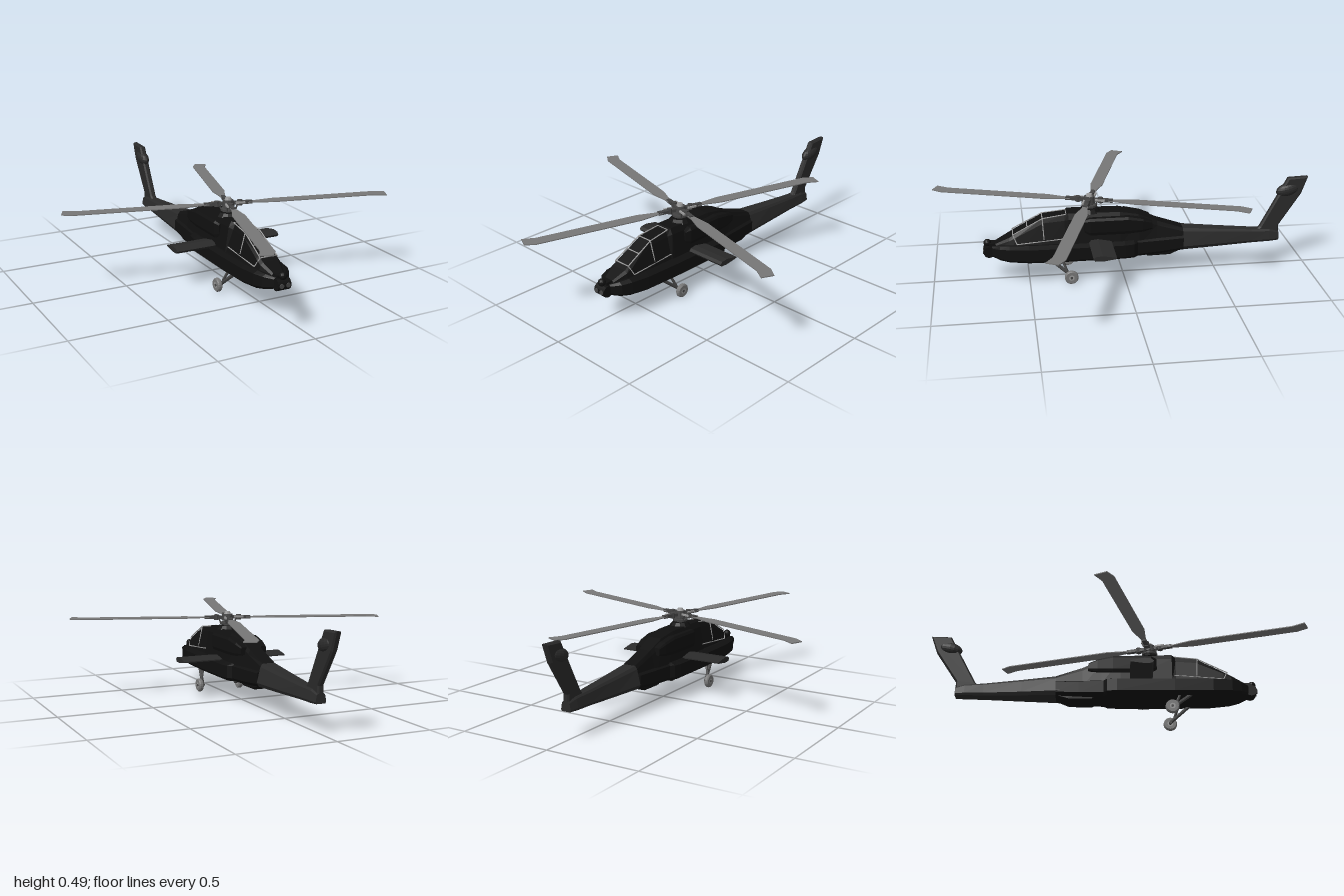
import * as THREE from 'three';

const mat = (color) => new THREE.MeshStandardMaterial({ color, flatShading: true, side: THREE.DoubleSide });
const black = mat(0x101010), dark = mat(0x2a2a2a), metal = mat(0x444444), blade = mat(0x777777), pale = mat(0x999999);

function add(parent, name, geometry, material, x = 0, y = 0, z = 0) {
  const mesh = new THREE.Mesh(geometry, material);
  mesh.name = name;
  mesh.position.set(x, y, z);
  parent.add(mesh);
  return mesh;
}

// Skin through chamfered cross-sections: [z, bottom, top, lower half width, upper half width]
function loft(stations) {
  const pos = [], idx = [], n = 8;
  for (const [z, y0, y1, wb, wt = wb] of stations) {
    const h = y1 - y0;
    const half = [[wb * 0.82, y0], [wb, y0 + h * 0.18], [wt, y1 - h * 0.14], [wt * 0.75, y1]];
    for (const [x, y] of half) pos.push(x, y, z);
    for (const [x, y] of half.reverse()) pos.push(-x, y, z);
  }
  const last = (stations.length - 1) * n;
  for (let k = 0; k < last; k += n) {
    for (let i = 0; i < n; i++) {
      const a = k + i, b = k + (i + 1) % n;
      idx.push(a, a + n, b + n, a, b + n, b);
    }
  }
  for (let i = 1; i < n - 1; i++) idx.push(0, i, i + 1, last, last + i + 1, last + i);
  const g = new THREE.BufferGeometry();
  g.setAttribute('position', new THREE.Float32BufferAttribute(pos, 3));
  g.setIndex(idx);
  const flat = g.toNonIndexed();
  flat.computeVertexNormals();
  return flat;
}

// Side outline given as [z, y], extruded across x and centred on it
function sideSlab(points, width, bevel = 0) {
  const shape = new THREE.Shape(points.map(([z, y]) => new THREE.Vector2(z, y)));
  const g = new THREE.ExtrudeGeometry(shape, {
    depth: width - 2 * bevel, bevelEnabled: bevel > 0, bevelSize: bevel, bevelThickness: bevel,
    bevelOffset: -bevel, bevelSegments: 1,
  });
  return g.translate(0, 0, -(width - 2 * bevel) / 2).rotateY(-Math.PI / 2);
}

// Round bar between two points
function bar(parent, name, a, b, r, material) {
  const A = new THREE.Vector3(...a), B = new THREE.Vector3(...b);
  const mesh = add(parent, name, new THREE.CylinderGeometry(r, r, A.distanceTo(B), 8), material);
  mesh.position.copy(A).lerp(B, 0.5);
  mesh.quaternion.setFromUnitVectors(new THREE.Vector3(0, 1, 0), B.sub(A).normalize());
  return mesh;
}

function makeRotor() {
  const rotor = new THREE.Group();
  rotor.name = 'mainRotor';
  rotor.position.set(0, 0.422, 0.175);
  rotor.rotation.set(-0.016, 0, 0.004);
  add(rotor, 'hub', new THREE.CylinderGeometry(0.028, 0.032, 0.035, 12), metal);
  add(rotor, 'hubCap', new THREE.CylinderGeometry(0.014, 0.02, 0.018, 12), pale, 0, 0.022);
  add(rotor, 'swashplate', new THREE.CylinderGeometry(0.04, 0.04, 0.01, 16), metal, 0, -0.032);
  // Blade outline: narrow cuff, full chord, swept tip
  const outline = [[0.1, -0.012], [0.14, -0.016], [0.23, -0.033], [0.79, -0.033], [0.845, -0.012],
    [0.835, 0.052], [0.77, 0.032], [0.23, 0.032], [0.14, 0.014], [0.1, 0.012]];
  const bladeGeo = new THREE.ExtrudeGeometry(
    new THREE.Shape(outline.map(([r, s]) => new THREE.Vector2(r, s))), { depth: 0.005, bevelEnabled: false });
  bladeGeo.rotateX(Math.PI / 2);
  for (let i = 0; i < 4; i++) {
    const arm = new THREE.Group();
    arm.name = 'bladeArm';
    arm.rotation.y = -0.28 + i * Math.PI / 2;
    add(arm, 'rotorBlade', bladeGeo, blade, 0, 0.0025);
    add(arm, 'bladeGrip', new THREE.BoxGeometry(0.1, 0.016, 0.022), metal, 0.075);
    add(arm, 'hinge', new THREE.CylinderGeometry(0.014, 0.014, 0.028, 8), metal, 0.06);
    add(arm, 'damper', new THREE.BoxGeometry(0.05, 0.009, 0.009), pale, 0.06, 0.004, 0.02);
    bar(arm, 'pitchLink', [0.036, -0.032, 0.012], [0.046, 0, 0.016], 0.004, metal);
    rotor.add(arm);
  }
  return rotor;
}

function makeGear(side) {
  const gear = new THREE.Group();
  gear.name = side > 0 ? 'leftGear' : 'rightGear';
  const x = 0.12 * side;
  bar(gear, 'gearLeg', [0.075 * side, 0.125, 0.39], [0.1 * side, 0.04, 0.288], 0.009, metal);
  bar(gear, 'shockStrut', [0.078 * side, 0.125, 0.33], [0.1 * side, 0.06, 0.305], 0.007, metal);
  bar(gear, 'axle', [0.092 * side, 0.036, 0.285], [x, 0.036, 0.285], 0.008, metal);
  // Rounded tyre with a paler wheel disc
  const tyre = [[0.015, -0.012], [0.031, -0.012], [0.036, -0.006], [0.036, 0.006], [0.031, 0.012], [0.015, 0.012]];
  const tyreGeo = new THREE.LatheGeometry(tyre.map(([r, h]) => new THREE.Vector2(r, h)), 20).rotateZ(Math.PI / 2);
  add(gear, 'tyre', tyreGeo, blade, x, 0.036, 0.285);
  add(gear, 'wheelDisc', new THREE.CylinderGeometry(0.018, 0.018, 0.02, 16).rotateZ(Math.PI / 2), pale, x, 0.036, 0.285);
  add(gear, 'wheelNut', new THREE.CylinderGeometry(0.007, 0.007, 0.026, 8).rotateZ(Math.PI / 2), metal, x, 0.036, 0.285);
  return gear;
}

export function createModel() {
  const model = new THREE.Group();
  model.name = 'helicopter';

  // Fuselage: wide lower hull, cabin above it, tail boom
  add(model, 'lowerHull', loft([
    [0.69, 0.14, 0.195, 0.035], [0.65, 0.13, 0.205, 0.075], [0.6, 0.122, 0.21, 0.095], [0.5, 0.116, 0.21, 0.11],
    [0.3, 0.114, 0.21, 0.115], [0, 0.114, 0.21, 0.114], [-0.05, 0.114, 0.21, 0.105], [-0.07, 0.115, 0.21, 0.085],
    [-0.2, 0.12, 0.21, 0.075], [-0.32, 0.13, 0.21, 0.064],
  ]), black);
  add(model, 'cabin', loft([
    [0.67, 0.15, 0.21, 0.045, 0.035], [0.6, 0.15, 0.245, 0.075, 0.056], [0.56, 0.15, 0.268, 0.077, 0.056],
    [0.42, 0.15, 0.345, 0.08, 0.046], [0.31, 0.15, 0.355, 0.08, 0.045], [0.29, 0.15, 0.365, 0.082, 0.06],
    [0.02, 0.15, 0.36, 0.082, 0.06], [-0.08, 0.15, 0.34, 0.078, 0.052], [-0.18, 0.14, 0.295, 0.072, 0.045],
    [-0.32, 0.13, 0.247, 0.065, 0.045],
  ]), black);
  add(model, 'tailBoom', loft([
    [-0.32, 0.13, 0.246, 0.065, 0.045], [-0.5, 0.133, 0.228, 0.05, 0.037], [-0.7, 0.138, 0.21, 0.036, 0.028],
    [-0.8, 0.14, 0.205, 0.034, 0.026], [-0.85, 0.142, 0.19, 0.028, 0.022],
  ]), dark);
  add(model, 'bellyFairing', loft([
    [-0.11, 0.114, 0.15, 0.05], [-0.13, 0.101, 0.15, 0.055], [-0.25, 0.102, 0.15, 0.052], [-0.32, 0.13, 0.15, 0.045],
  ]), black);

  // Engine nacelles
  for (const s of [1, -1]) {
    const nacelle = loft([
      [0.21, 0.265, 0.33, 0.018], [0.18, 0.25, 0.342, 0.033], [-0.02, 0.25, 0.342, 0.033],
      [-0.1, 0.255, 0.325, 0.028], [-0.15, 0.265, 0.305, 0.018],
    ]);
    add(model, s > 0 ? 'leftEngine' : 'rightEngine', nacelle, black, 0.054 * s);
    model.add(makeGear(s));
  }

  // Canopy frame bars
  const rails = [[0.046, 0.262, 0.58], [0.042, 0.343, 0.425], [0.036, 0.358, 0.3]];
  for (const s of [1, -1]) {
    const p = rails.map(([x, y, z]) => [x * s, y, z]);
    bar(model, 'canopyRail', p[0], p[1], 0.003, pale);
    bar(model, 'canopyRail', p[1], p[2], 0.003, pale);
    bar(model, 'canopyPost', p[1], [0.066 * s, 0.235, 0.42], 0.003, pale);
    bar(model, 'canopyPost', p[0], [0.067 * s, 0.215, 0.56], 0.003, pale);
    bar(model, 'canopySill', [0.067 * s, 0.215, 0.56], [0.068 * s, 0.235, 0.3], 0.003, pale);
  }
  for (const [x, y, z] of [...rails, [0.044, 0.302, 0.505]]) {
    bar(model, 'canopyCrossBar', [-x, y, z], [x, y, z], 0.003, pale);
  }

  // Nose sensors
  add(model, 'sensorDrum', new THREE.CylinderGeometry(0.03, 0.03, 0.07, 16).rotateZ(Math.PI / 2), black, 0, 0.165, 0.705);
  add(model, 'sensorNeck', new THREE.BoxGeometry(0.05, 0.05, 0.05), black, 0, 0.185, 0.68);
  add(model, 'upperSensor', new THREE.SphereGeometry(0.02, 14, 10), black, 0, 0.208, 0.713);
  for (const s of [1, -1]) {
    add(model, 'sensorLens', new THREE.CylinderGeometry(0.012, 0.012, 0.008, 12).rotateX(Math.PI / 2), metal, 0.018 * s, 0.165, 0.734);
  }

  // Stub wings
  add(model, 'stubWings', sideSlab([
    [0.187, 0.21], [0.175, 0.222], [0.14, 0.226], [0.068, 0.212], [0.068, 0.206], [0.14, 0.196], [0.178, 0.198],
  ], 0.594), dark);

  // Tail fin with gearbox bulge
  add(model, 'tailFin', sideSlab([
    [-0.72, 0.19], [-0.748, 0.222], [-0.89, 0.49], [-0.998, 0.494], [-0.965, 0.4], [-0.85, 0.225], [-0.85, 0.16],
  ], 0.034, 0.008), dark);
  const bulge = add(model, 'tailGearbox', new THREE.SphereGeometry(1, 16, 10), dark, 0, 0.422, -0.893);
  bulge.scale.set(0.03, 0.036, 0.065);
  bulge.rotation.x = 0.25;

  // Mast and main rotor
  add(model, 'mastFairing', new THREE.CylinderGeometry(0.045, 0.06, 0.02, 12), black, 0, 0.368, 0.175);
  add(model, 'mast', new THREE.CylinderGeometry(0.018, 0.022, 0.07, 12), metal, 0, 0.39, 0.175);
  model.add(makeRotor());
  return model;
}
